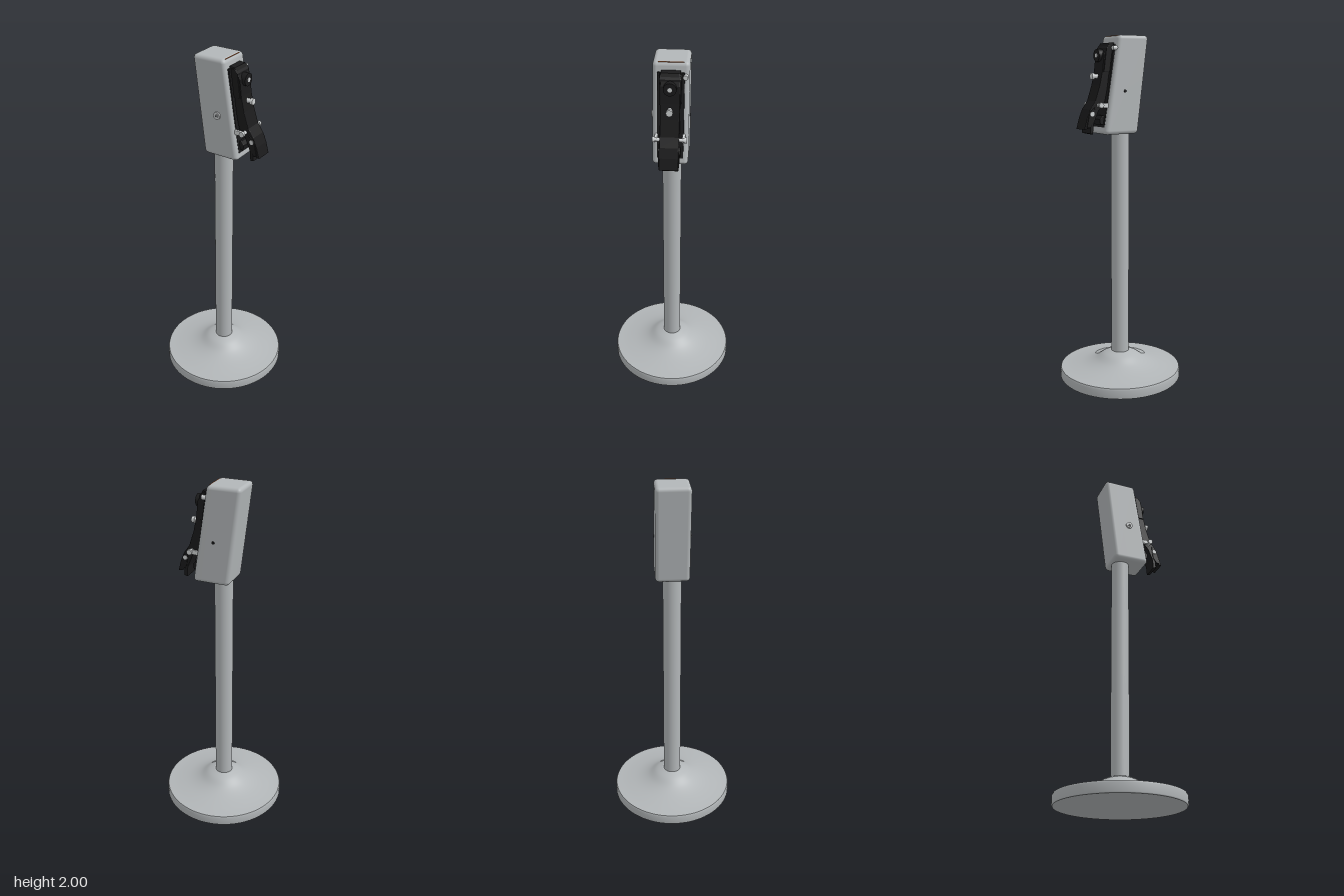
import * as THREE from 'three';
import { mergeVertices } from 'three/addons/utils/BufferGeometryUtils.js';
import { RoundedBoxGeometry } from 'three/addons/geometries/RoundedBoxGeometry.js';

export function createModel() {
  const model = new THREE.Group();
  const mat = (name, color) => {
    const m = new THREE.MeshStandardMaterial({ color });
    m.name = name;
    return m;
  };
  const grey = mat('grey casing', 0xb2b6b8);
  const black = mat('black plastic', 0x1a1a1b);
  const silver = mat('silver metal', 0xcfd2d3);
  const copper = mat('copper seam', 0x9a5a35);

  const add = (name, geo, material, x = 0, y = 0, z = 0, parent = model) => {
    const mesh = new THREE.Mesh(geo, material);
    mesh.name = name;
    mesh.position.set(x, y, z);
    parent.add(mesh);
    return mesh;
  };
  // Side profile in x and y, extruded symmetrically across z
  const slab = (points, width, bevel = 0.004) => {
    const shape = new THREE.Shape(points.map(p => new THREE.Vector2(...p)));
    const depth = width - 2 * bevel;
    return new THREE.ExtrudeGeometry(shape, {
      depth, bevelEnabled: true, bevelSize: bevel, bevelOffset: -bevel,
      bevelThickness: bevel, bevelSegments: 2,
    }).translate(0, 0, -depth / 2);
  };
  // Round rod along an axis
  const rod = (r, length, axis, sides = 20) => {
    const g = new THREE.CylinderGeometry(r, r, length, sides);
    if (axis === 'x') g.rotateZ(-Math.PI / 2);
    if (axis === 'z') g.rotateX(Math.PI / 2);
    return g;
  };

  // Base: heavy rim, and a smooth flare up to the pole
  const lathe = pts => new THREE.LatheGeometry(pts.map(p => new THREE.Vector2(...p)), 72);
  add('baseUnderside', lathe([[0, 0], [0.355, 0]]), grey);
  add('baseRim', lathe([[0.355, 0], [0.36, 0.006], [0.36, 0.05], [0.355, 0.061]]), grey);
  const flare = new THREE.SplineCurve([
    [0.355, 0.061], [0.29, 0.068], [0.21, 0.083], [0.15, 0.105], [0.10, 0.138], [0.06, 0.155],
  ].map(p => new THREE.Vector2(...p))).getPoints(24);
  add('baseFlare', new THREE.LatheGeometry(flare, 72), grey);
  add('baseCollar', lathe([[0.06, 0.155], [0.045, 0.156]]), grey);
  add('pole', new THREE.CylinderGeometry(0.052, 0.052, 1.36, 40), grey, 0, 0.81, 0);

  // Head: rounded box whose two ends slope outward to match the side profile
  const head = new RoundedBoxGeometry(1, 0.54, 0.19, 5, 0.022);
  const unit = new RoundedBoxGeometry(0.2, 0.54, 0.19, 5, 0.022);
  head.dispose();
  const pos = unit.attributes.position;
  for (let i = 0; i < pos.count; i++) {
    const t = pos.getY(i) / 0.54 + 0.5;
    const left = THREE.MathUtils.lerp(-0.065, -0.132, t);
    const right = THREE.MathUtils.lerp(0.147, 0.06, t);
    pos.setX(i, THREE.MathUtils.lerp(left, right, pos.getX(i) / 0.2 + 0.5));
  }
  unit.deleteAttribute('normal');
  unit.deleteAttribute('uv');
  const headGeo = mergeVertices(unit, 1e-5);
  headGeo.computeVertexNormals();
  add('headCasing', headGeo, grey, 0, 1.73, 0);
  add('topSeam', new THREE.BoxGeometry(0.006, 0.006, 0.13), copper, 0.05, 1.995, 0);

  // Screws in the casing
  add('frontBoltWasher', rod(0.02, 0.012, 'z', 24), silver, 0.022, 1.698, 0.098);
  add('frontBoltHead', rod(0.012, 0.01, 'z', 6), grey, 0.022, 1.698, 0.102);
  add('frontBoltSocket', rod(0.005, 0.004, 'z', 6), black, 0.022, 1.698, 0.106);
  add('rearScrew', rod(0.008, 0.008, 'z', 16), black, 0.022, 1.698, -0.094);
  add('cornerScrew', rod(0.013, 0.04, 'x', 16), silver, 0.072, 1.93, -0.075);

  // Latch mechanism on the sloping side
  const latch = new THREE.Group();
  latch.name = 'latch';
  model.add(latch);
  const put = (...args) => add(...args.concat(latch));
  put('backPlate', slab([[0.05, 1.95], [0.05, 1.5], [0.142, 1.5], [0.078, 1.95]], 0.14), black, 0, 0, 0);
  put('upperLever', slab([
    [0.065, 1.96], [0.075, 1.9], [0.10, 1.75], [0.128, 1.63], [0.165, 1.59], [0.195, 1.52],
    [0.2, 1.462], [0.22, 1.468], [0.213, 1.54], [0.222, 1.555], [0.232, 1.495], [0.254, 1.49],
    [0.238, 1.55], [0.217, 1.6], [0.185, 1.645], [0.157, 1.73], [0.14, 1.81],
    [0.13, 1.9], [0.10, 1.957],
  ], 0.1), black, 0, 0, 0);
  put('upperBlock', slab([[0.07, 1.95], [0.09, 1.8], [0.135, 1.8], [0.118, 1.93], [0.1, 1.95]], 0.112), black, 0, 0, 0);
  put('lockKnob', rod(0.034, 0.045, 'x', 24), black, 0.128, 1.89, 0);
  put('lockFace', rod(0.012, 0.004, 'x', 20), silver, 0.151, 1.89, 0);
  put('buttonStem', rod(0.013, 0.06, 'x', 16), silver, 0.145, 1.778, 0);
  put('buttonCap', rod(0.018, 0.016, 'x', 12), silver, 0.176, 1.778, 0);
  put('lowerCatch', slab([[0.11, 1.565], [0.11, 1.515], [0.158, 1.515], [0.162, 1.545], [0.145, 1.565]], 0.11), black, 0, 0, 0);
  put('leverPin', rod(0.013, 0.112, 'z', 12), silver, 0.207, 1.575, 0);
  put('armPin', rod(0.01, 0.165, 'z', 16), silver, 0.167, 1.622, 0);

  // Paired arms, pin caps and side ridges
  for (const s of [1, -1]) {
    put('supportArm', slab([[0.1, 1.632], [0.1, 1.605], [0.17, 1.608], [0.178, 1.62], [0.17, 1.634]], 0.016), silver, 0, 0, s * 0.072);
    put('armPinCap', rod(0.015, 0.014, 'z', 16), silver, 0.167, 1.622, s * 0.083);
    put('leverRidge', slab([[0.19, 1.61], [0.2, 1.53], [0.222, 1.5], [0.24, 1.5], [0.224, 1.58]], 0.008, 0.002), black, 0, 0, s * 0.05);
  }
  return model;
}
